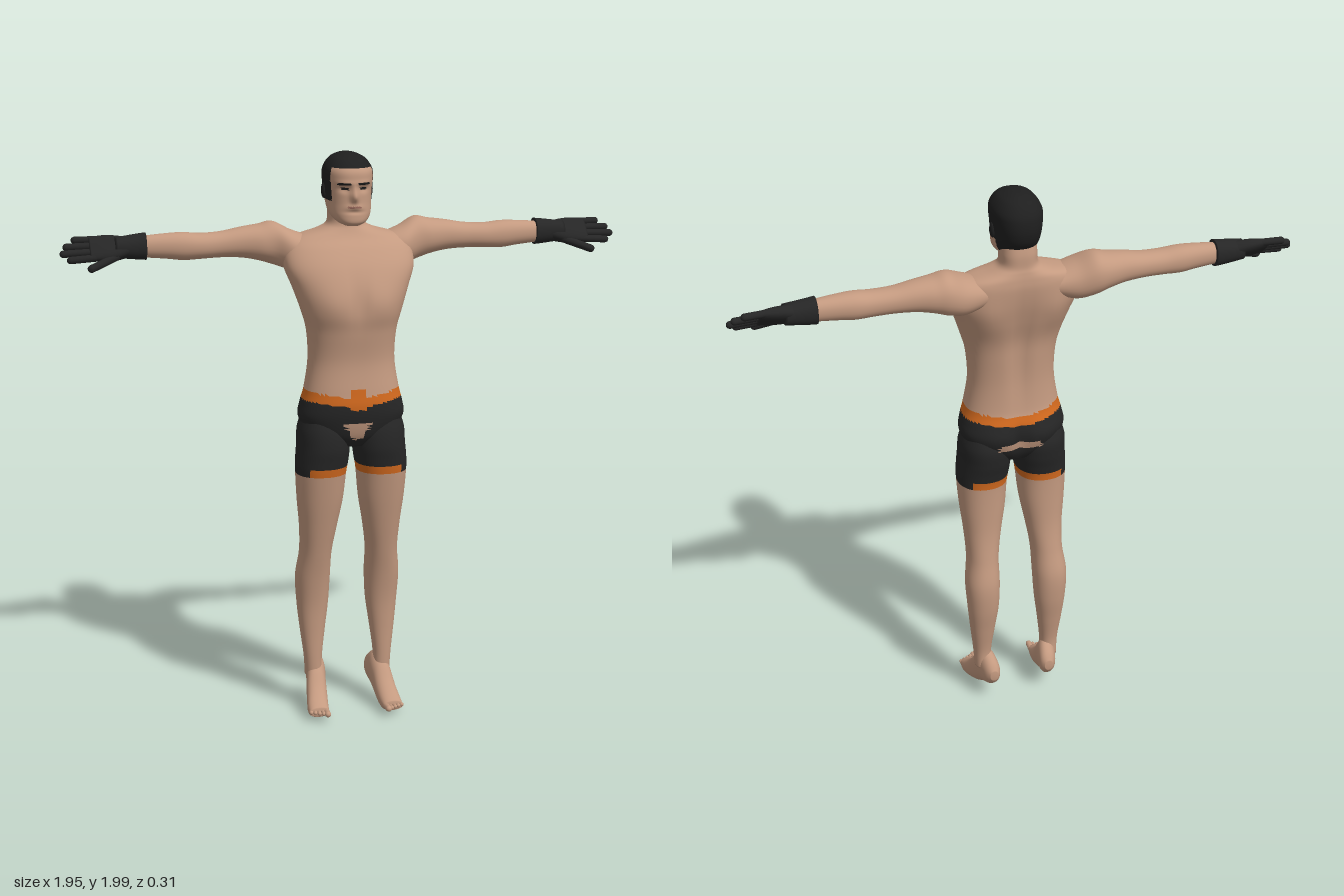
import * as THREE from 'three';

const mat = (name, color) => Object.assign(new THREE.MeshStandardMaterial({ color }), { name });

// Smooth loft along an axis (0 x, 1 y, 2 z). Each ring is [t, u0, u1, v0, v1],
// the bounds of an oval in the next two axes; pick() chooses a material per face.
function loft(axis, rings, { n = 32, steps = 6, e = 2.2, side = 1, pick = () => 0, deform } = {}) {
  rings = [...rings].sort((a, b) => a[0] - b[0]);
  const fine = [];
  const cr = (a, b, c, d, t) => 0.5 * (2 * b + (c - a) * t + (2 * a - 5 * b + 4 * c - d) * t * t + (3 * b - a - 3 * c + d) * t ** 3);
  for (let i = 0; i < rings.length - 1; i++) {
    const at = k => rings[Math.min(rings.length - 1, Math.max(0, k))];
    for (let s = 0; s < steps; s++) fine.push(rings[i].map((_, k) => cr(at(i - 1)[k], at(i)[k], at(i + 1)[k], at(i + 2)[k], s / steps)));
  }
  fine.push(rings[rings.length - 1]);

  const pts = [];
  const add = (t, u, v) => {
    const p = [0, 0, 0];
    p[axis] = t; p[(axis + 1) % 3] = u; p[(axis + 2) % 3] = v;
    if (deform) deform(p);
    pts.push(p);
  };
  const pw = c => Math.sign(c) * Math.abs(c) ** (2 / e);
  for (const [t, u0, u1, v0, v1] of fine) {
    for (let j = 0; j < n; j++) {
      const a = j / n * Math.PI * 2;
      add(t, (u0 + u1) / 2 + (u1 - u0) / 2 * pw(Math.cos(a)), (v0 + v1) / 2 + (v1 - v0) / 2 * pw(Math.sin(a)));
    }
  }
  const last = fine.length - 1, c0 = pts.length;
  for (const r of [fine[0], fine[last]]) add(r[0], (r[1] + r[2]) / 2, (r[3] + r[4]) / 2);

  const buckets = [];
  const tri = (a, b, c) => {
    const m = [0, 1, 2].map(k => (pts[a][k] + pts[b][k] + pts[c][k]) / 3);
    const list = buckets[pick(...m)] ??= [];
    if (side > 0) list.push(a, b, c); else list.push(a, c, b);
  };
  for (let j = 0; j < n; j++) {
    const k = (j + 1) % n;
    for (let i = 0; i < last; i++) {
      const a = i * n + j, b = i * n + k;
      tri(a, b, a + n); tri(b, b + n, a + n);
    }
    tri(c0, k, j); tri(c0 + 1, last * n + j, last * n + k);
  }
  const geo = new THREE.BufferGeometry();
  geo.setAttribute('position', new THREE.Float32BufferAttribute(pts.flatMap(p => [p[0] * side, p[1], p[2]]), 3));
  const index = [];
  buckets.forEach((list, m) => {
    geo.addGroup(index.length, list.length, m);
    for (const i of list) index.push(i);
  });
  geo.setIndex(index);
  geo.computeVertexNormals();
  return geo;
}

// Mirrored soft bumps on the front (+1) or back (-1): [x, y, face, rx, ry, amount]
const sculpt = (bumps, z0) => p => {
  const [x, y, z] = p;
  for (const [bx, by, f, rx, ry, amt] of bumps) {
    const fade = Math.min(1, Math.max(0, f * (z - z0) * 20));
    p[2] += f * amt * fade * Math.exp(-(((Math.abs(x) - bx) / rx) ** 2) - ((y - by) / ry) ** 2);
  }
};

export function createModel() {
  const skin = mat('skin', 0xc49a80), black = mat('black cloth', 0x262626), orange = mat('orange trim', 0xd2691e);
  const hair = mat('hair', 0x1f1f1f), lips = mat('lips', 0x96675a);
  const body = [skin, black, orange];
  const model = new THREE.Group();
  model.name = 'athlete';
  const put = (name, geo, material, parent = model) => {
    const m = new THREE.Mesh(geo, material);
    m.name = name;
    parent.add(m);
    return m;
  };

  // Skin, shorts, waistband and hems by position
  const shorts = (x, y, z) => {
    const ax = Math.abs(x), yy = y + 0.018 * Math.max(0, 1 - ax / 0.13);
    if (z > 0 && ax < 0.024 && y > 1.14 && y < 1.21) return 2;
    if (yy > 1.197) return 0;
    if (yy > 1.165) return 2;
    if (z > 0.04 && y > 1.03 && y < 1.09 && ax < 0.042 * (y - 1.01) / 0.07) return 0;
    if (z < -0.04 && y > 1.055 && y < 1.085 && ax < 0.075) return 0;
    if (y > 0.928) return 1;
    if (y > 0.9) return ax > 0.165 ? 1 : 2;
    return 0;
  };

  // Torso with neck: [y, back, front, right, left]
  const torso = [
    [1.00, -0.06, 0.09, 0.08], [1.04, -0.085, 0.118, 0.15], [1.10, -0.098, 0.135, 0.184], [1.15, -0.095, 0.14, 0.178],
    [1.20, -0.083, 0.135, 0.165], [1.30, -0.078, 0.126, 0.15], [1.40, -0.083, 0.138, 0.155], [1.47, -0.09, 0.147, 0.173],
    [1.55, -0.11, 0.14, 0.2], [1.62, -0.125, 0.112, 0.225], [1.68, -0.132, 0.07, 0.218], [1.715, -0.13, 0.035, 0.185],
    [1.74, -0.125, 0.018, 0.1], [1.76, -0.12, 0.01, 0.066], [1.80, -0.118, 0.008, 0.062], [1.84, -0.11, 0.008, 0.06],
  ].map(([y, b, f, w]) => [y, b, f, -w, w]);
  put('torso', loft(1, torso, {
    n: 56, steps: 7, e: 2.4, pick: shorts,
    deform: sculpt([
      [0.085, 1.5, 1, 0.06, 0.06, 0.01], [0, 1.53, 1, 0.02, 0.08, -0.008],
      [0, 1.45, -1, 0.03, 0.22, -0.018], [0.12, 1.58, -1, 0.05, 0.08, 0.012],
      [0.085, 1.1, -1, 0.06, 0.05, 0.01], [0, 1.08, -1, 0.02, 0.06, -0.015],
    ], 0.02),
  }), body);

  // Head: [y, back, front, right, left], with hair, brows, eyes and mouth by face
  const head = [
    [1.762, 0.0, 0.07, 0.025], [1.775, -0.03, 0.082, 0.05], [1.80, -0.085, 0.083, 0.069], [1.84, -0.125, 0.08, 0.076],
    [1.88, -0.142, 0.08, 0.08], [1.92, -0.145, 0.084, 0.083], [1.95, -0.138, 0.078, 0.08], [1.98, -0.115, 0.05, 0.06],
    [1.995, -0.085, 0.01, 0.033], [2.0, -0.06, -0.02, 0.012],
  ].map(([y, b, f, w]) => [y, b, f, -w, w]);
  put('head', loft(1, head, {
    n: 80, steps: 10, e: 2.3,
    pick: (x, y, z) => {
      const ax = Math.abs(x);
      if (y > 1.957 || (z < 0.032 && y > 1.845) || (z < -0.05 && y > 1.8)) return 1;
      if (z > 0.02 && y > 1.901 && y < 1.909 && ax > 0.012 && ax < 0.055) return 1;
      if (z > 0.02 && y > 1.883 && y < 1.891 && ax > 0.02 && ax < 0.044) return 1;
      return z > 0.02 && y > 1.822 && y < 1.83 && ax < 0.023 ? 2 : 0;
    },
    deform: sculpt([
      [0, 1.86, 1, 0.012, 0.02, 0.02], [0, 1.885, 1, 0.01, 0.02, 0.008], [0.033, 1.887, 1, 0.018, 0.012, -0.008],
      [0.03, 1.907, 1, 0.03, 0.008, 0.004], [0, 1.826, 1, 0.025, 0.009, 0.005], [0, 1.81, 1, 0.03, 0.006, -0.004],
    ], -0.03),
  }), [skin, hair, lips]);

  for (const side of [1, -1]) {
    const tag = side > 0 ? 'left' : 'right';
    const limb = (name, axis, rings, material, opts = {}, parent = model) =>
      put(tag + name, loft(axis, rings, { side, ...opts }), material, parent);
    // Rounded digit between two points
    const digit = (name, a, b, r, material, parent) => {
      const p = new THREE.Vector3(a[0] * side, a[1], a[2]), q = new THREE.Vector3(b[0] * side, b[1], b[2]);
      const d = q.clone().sub(p);
      const m = put(tag + name, new THREE.CapsuleGeometry(r, d.length(), 5, 12), material, parent);
      m.position.copy(p).add(q).multiplyScalar(0.5);
      m.quaternion.setFromUnitVectors(new THREE.Vector3(0, 1, 0), d.normalize());
    };

    const ear = put(tag + 'Ear', new THREE.SphereGeometry(1, 14, 10), hair);
    ear.scale.set(0.01, 0.027, 0.016);
    ear.position.set(0.08 * side, 1.872, -0.035);

    // Arm: [x, bottom, top, back, front]
    limb('Arm', 0, [
      [0.11, 1.63, 1.71, -0.12, 0.01], [0.19, 1.605, 1.738, -0.14, 0.02], [0.25, 1.618, 1.766, -0.153, -0.008],
      [0.30, 1.634, 1.758, -0.147, -0.015], [0.36, 1.646, 1.75, -0.135, -0.025], [0.43, 1.65, 1.738, -0.125, -0.03],
      [0.50, 1.648, 1.735, -0.12, -0.028], [0.56, 1.646, 1.74, -0.12, -0.03], [0.62, 1.653, 1.738, -0.115, -0.037],
      [0.70, 1.66, 1.732, -0.108, -0.048],
    ], skin);

    // Glove: cuff, tilted palm, fingers and thumb
    const glove = new THREE.Group();
    glove.name = tag + 'Glove';
    model.add(glove);
    limb('Cuff', 0, [
      [0.685, 1.651, 1.743, -0.12, -0.038], [0.72, 1.654, 1.739, -0.118, -0.041], [0.79, 1.662, 1.73, -0.112, -0.042],
    ], black, {}, glove);
    const palm = limb('Palm', 0, [
      [0.74, -0.028, 0.028, -0.035, 0.032], [0.79, -0.025, 0.025, -0.047, 0.047],
      [0.83, -0.022, 0.022, -0.05, 0.05], [0.875, -0.014, 0.014, -0.047, 0.047],
    ], black, { e: 2.6 }, glove);
    palm.geometry.rotateX(Math.PI / 4).translate(0, 1.695, -0.075);
    const inHand = (x, w, h) => [x, 1.695 + 0.707 * (h - w), -0.075 + 0.707 * (w + h)];
    [[-0.037, 0.92], [-0.012, 0.95], [0.013, 0.962], [0.037, 0.94]].forEach(([w, tip], i) =>
      digit('Finger' + (i + 1), inHand(0.85, w, 0), inHand(tip, w * 1.1, -0.004), 0.0125, black, glove));
    digit('Thumb', inHand(0.785, 0.035, 0), inHand(0.875, 0.083, 0.003), 0.0135, black, glove);

    // Leg: [y, back, front, inner, outer]
    limb('Leg', 1, [
      [1.12, -0.07, 0.1, 0.05, 0.165], [1.06, -0.092, 0.122, 0.012, 0.186], [1.0, -0.088, 0.128, 0.008, 0.19],
      [0.95, -0.077, 0.122, 0.012, 0.195], [0.90, -0.07, 0.114, 0.02, 0.196], [0.80, -0.068, 0.095, 0.03, 0.19],
      [0.70, -0.071, 0.073, 0.048, 0.18], [0.60, -0.085, 0.05, 0.063, 0.176], [0.50, -0.104, 0.028, 0.065, 0.187],
      [0.40, -0.1, 0.012, 0.07, 0.182], [0.30, -0.083, 0.006, 0.083, 0.172], [0.20, -0.067, 0.004, 0.095, 0.16],
      [0.13, -0.07, 0.002, 0.095, 0.156],
    ], body, { n: 40, steps: 8, pick: shorts });

    // Foot with lowered toes: [z, right, left, bottom, top]
    const foot = new THREE.Group();
    foot.name = tag + 'Foot';
    model.add(foot);
    limb('FootBody', 2, [
      [-0.113, 0.09, 0.12, 0.1, 0.138], [-0.09, 0.077, 0.137, 0.072, 0.168], [-0.04, 0.08, 0.15, 0.05, 0.195],
      [0, 0.086, 0.158, 0.026, 0.16], [0.04, 0.09, 0.165, 0.011, 0.108], [0.08, 0.095, 0.171, 0.006, 0.072],
      [0.115, 0.1, 0.17, 0.02, 0.052],
    ], skin, {}, foot);
    for (let i = 0; i < 5; i++) {
      const x = 0.109 + i * 0.0135;
      digit('Toe' + (i + 1), [x, 0.035, 0.09], [x + 0.002, 0.038, 0.143 - i * 0.007], i ? 0.0075 : 0.011, skin, foot);
    }
  }
  return model;
}
